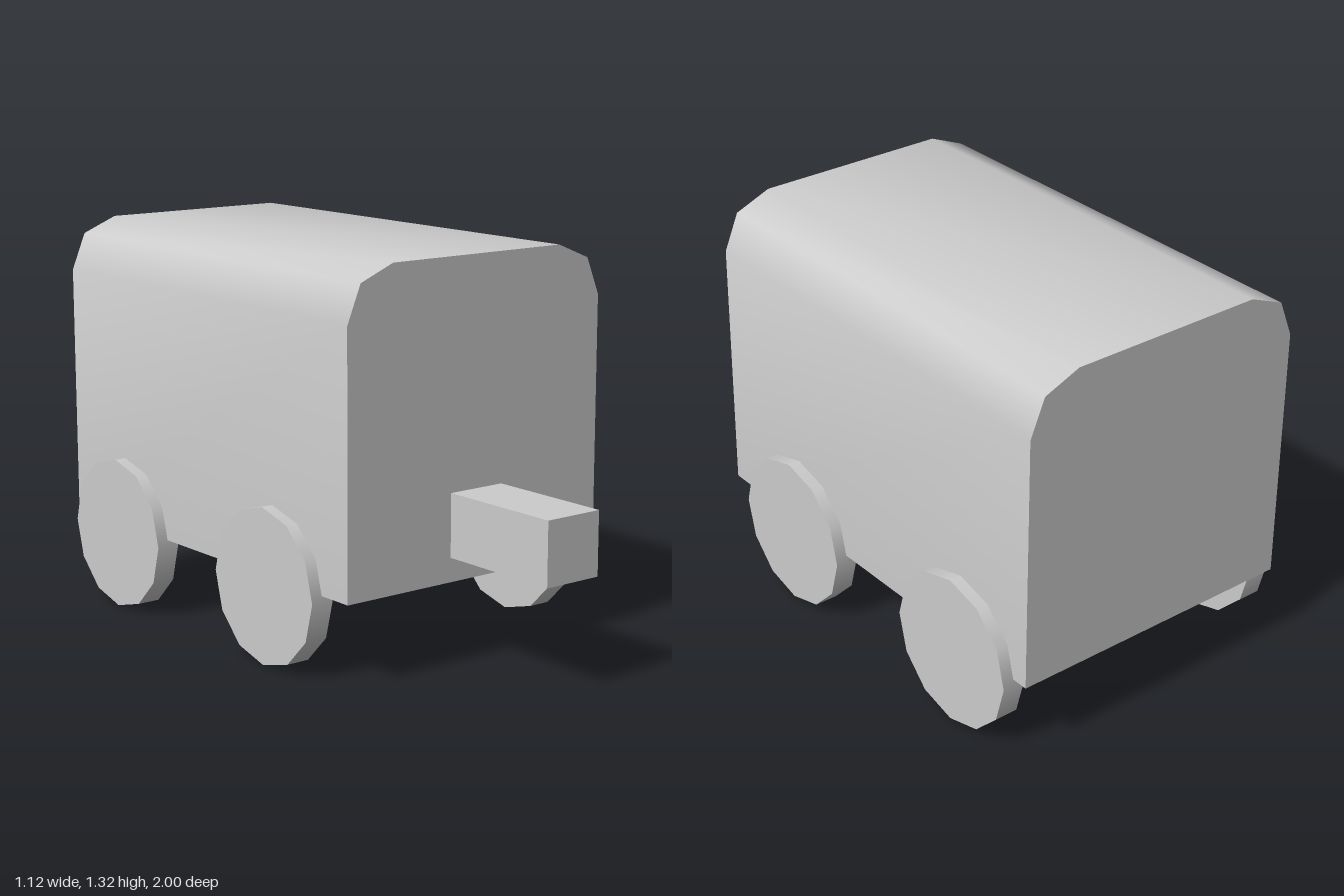
import * as THREE from 'three';
import { toCreasedNormals } from 'three/addons/utils/BufferGeometryUtils.js';

export function createModel() {
  const group = new THREE.Group();
  const material = new THREE.MeshStandardMaterial({ color: 0xcccccc });

  const add = (name, geometry, x, y, z) => {
    const mesh = new THREE.Mesh(geometry, material);
    mesh.name = name;
    mesh.position.set(x, y, z);
    group.add(mesh);
  };

  // Body: half outline mirrored, extruded along the length
  const half = [[0.517, 0.28], [0.517, 1.141], [0.466, 1.265], [0.341, 1.316]];
  const outline = [...half, ...half.map(([x, y]) => [-x, y]).reverse()];
  const shape = new THREE.Shape(outline.map(([x, y]) => new THREE.Vector2(x, y)));
  const body = new THREE.ExtrudeGeometry(shape, { depth: 1.556, bevelEnabled: false });
  add('body', toCreasedNormals(body, THREE.MathUtils.degToRad(50)), 0, 0, -1);

  // Hitch bar at the front
  add('hitch', new THREE.BoxGeometry(0.21, 0.21, 0.454), 0, 0.465, 0.773);

  // Four twelve-sided wheels with axles along x
  const wheel = new THREE.CylinderGeometry(0.26, 0.26, 0.08, 12).rotateZ(Math.PI / 2);
  for (const [sideName, side] of [['left', 1], ['right', -1]]) {
    for (const [endName, z] of [['Front', 0.171], ['Back', -0.687]]) {
      add(`${sideName}${endName}Wheel`, wheel, side * 0.518, 0.26, z);
    }
  }
  return group;
}
